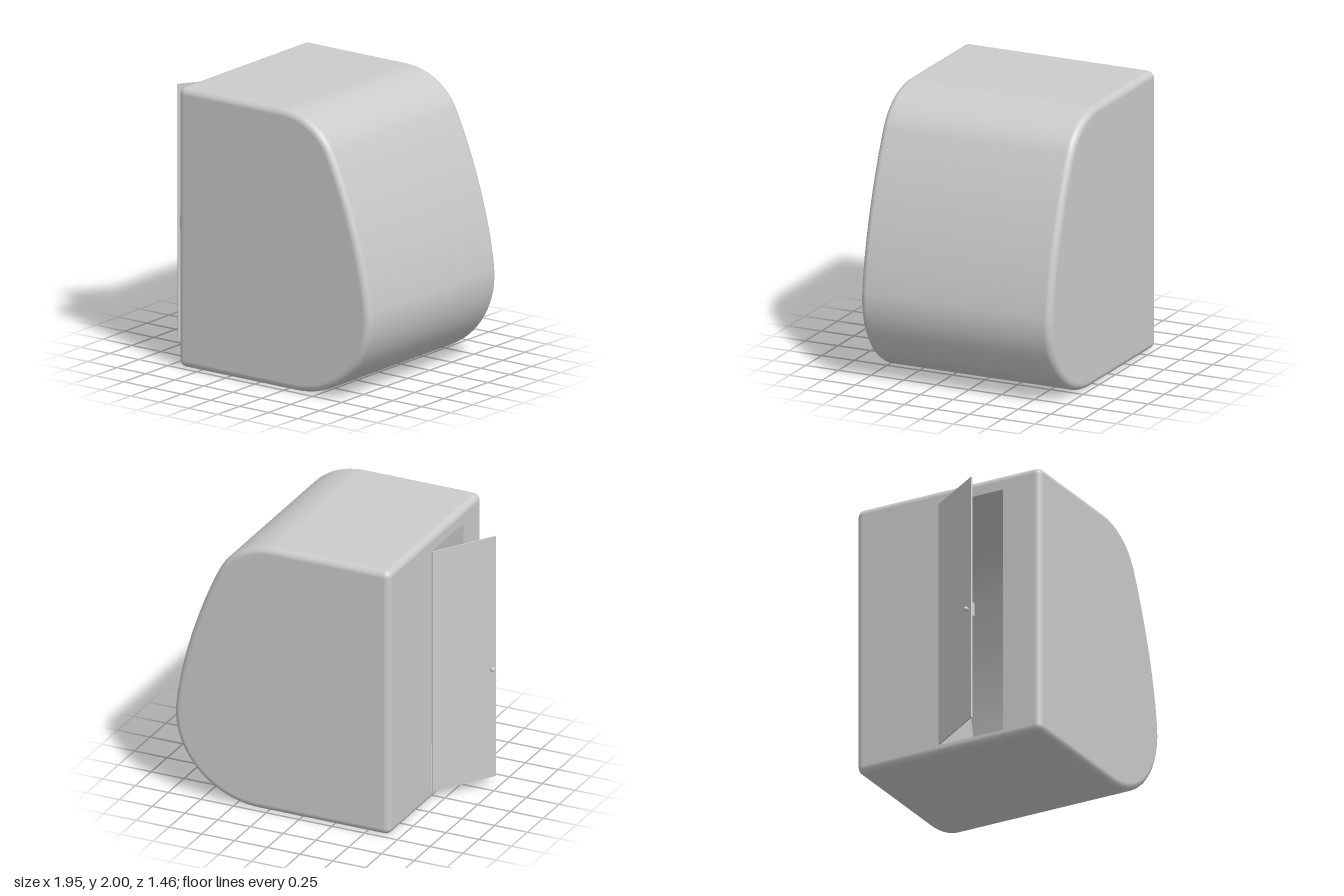
import * as THREE from 'three';

const HALF = 0.73;      // half depth of the pod
const ROUND = 0.05;     // edge rounding
const WALL = 0.018;     // wall thickness
const BACK = -0.68;     // flat door wall
const DOOR = { y0: 0.065, y1: 1.885, z0: -0.07, z1: 0.435 };

// Side profile, clockwise from the top of the door wall: points with outward normals
function makeProfile() {
  const v = (x, y) => new THREE.Vector2(x, y);
  const out = [];
  const corner = (cx, cy, a0) => {
    for (let i = 0; i <= 6; i++) {
      const a = a0 - (i / 6) * Math.PI / 2;
      const n = v(Math.cos(a), Math.sin(a));
      out.push({ p: v(cx, cy).addScaledVector(n, ROUND), n });
    }
  };
  const curve = (a, b, c, d) => {
    const bez = new THREE.CubicBezierCurve(a, b, c, d);
    for (let i = 0; i <= 20; i++) {
      const t = bez.getTangent(i / 20);
      out.push({ p: bez.getPoint(i / 20), n: v(-t.y, t.x) });
    }
  };
  corner(BACK + ROUND, 2 - ROUND, Math.PI);
  curve(v(0.2, 2), v(0.4, 2), v(0.565, 1.9), v(0.64, 1.74));
  curve(v(0.64, 1.74), v(0.77, 1.48), v(0.935, 1.02), v(0.968, 0.64));
  curve(v(0.968, 0.64), v(0.985, 0.3), v(0.7, 0), v(0.325, 0));
  corner(BACK + ROUND, ROUND, -Math.PI / 2);
  return out;
}

// Closed shell over the profile, left open at the flat door wall
function makeShell(profile, inset, round) {
  const pos = [], nor = [], idx = [];
  const rings = [];
  const steps = round > 0 ? 6 : 0;
  for (const s of [-1, 1]) {
    for (let i = 0; i <= steps; i++) {
      const k = s < 0 ? steps - i : i;
      const a = steps ? (k / steps) * Math.PI / 2 : 0;
      rings.push({ z: s * (HALF - inset - round * (1 - Math.sin(a))), a: s * a, off: inset + round * (1 - Math.cos(a)) });
    }
  }
  if (!steps) rings.forEach((r) => { r.z = Math.sign(r.z) * (HALF - inset); });
  const count = profile.length;
  const addRing = (r, flat) => {
    const start = pos.length / 3;
    for (const { p, n } of profile) {
      pos.push(p.x - n.x * r.off, p.y - n.y * r.off, r.z);
      if (flat) nor.push(0, 0, flat);
      else nor.push(n.x * Math.cos(r.a), n.y * Math.cos(r.a), Math.sin(r.a));
    }
    return start;
  };
  const starts = rings.map((r) => addRing(r, 0));
  for (let k = 0; k + 1 < starts.length; k++) {
    const main = k === steps;
    for (let i = 0; i < (main ? count - 1 : count); i++) {
      const j = (i + 1) % count;
      const a = starts[k] + i, b = starts[k] + j, c = starts[k + 1] + j, d = starts[k + 1] + i;
      idx.push(a, d, b, b, d, c);
    }
  }
  // flat end walls
  [[rings[0], -1], [rings[rings.length - 1], 1]].forEach(([r, s]) => {
    const o = addRing(r, s);
    for (let i = 1; i + 1 < count; i++) {
      if (s < 0) idx.push(o, o + i, o + i + 1);
      else idx.push(o, o + i + 1, o + i);
    }
  });
  const g = new THREE.BufferGeometry();
  g.setAttribute('position', new THREE.Float32BufferAttribute(pos, 3));
  g.setAttribute('normal', new THREE.Float32BufferAttribute(nor, 3));
  g.setIndex(idx);
  return g;
}

// Flat door wall with its opening, extruded to the wall thickness
function makeDoorWall() {
  const rect = (T, a0, a1, y0, y1) => {
    const s = new T();
    s.moveTo(a0, y0);
    s.lineTo(a1, y0);
    s.lineTo(a1, y1);
    s.lineTo(a0, y1);
    s.closePath();
    return s;
  };
  const e = HALF - ROUND;
  const shape = rect(THREE.Shape, -e, e, ROUND, 2 - ROUND);
  shape.holes.push(rect(THREE.Path, DOOR.z0, DOOR.z1, DOOR.y0, DOOR.y1));
  const g = new THREE.ExtrudeGeometry(shape, { depth: WALL, bevelEnabled: false });
  g.rotateY(-Math.PI / 2);           // shape x becomes z, depth becomes -x
  g.translate(BACK + WALL, 0, 0);
  return g;
}

export function createModel() {
  const root = new THREE.Group();
  root.name = 'pod';
  const mat = new THREE.MeshStandardMaterial({ color: 0xcccccc });
  const inside = new THREE.MeshStandardMaterial({ color: 0xcccccc, side: THREE.BackSide });
  const add = (parent, name, geo, m = mat) => {
    const mesh = new THREE.Mesh(geo, m);
    mesh.name = name;
    parent.add(mesh);
    return mesh;
  };

  // hollow body
  const profile = makeProfile();
  add(root, 'outerShell', makeShell(profile, 0, ROUND));
  add(root, 'innerLining', makeShell(profile, WALL, 0), inside);
  add(root, 'doorWall', makeDoorWall());

  // open door: local x runs from hinge to free edge, local z faces outward
  const door = new THREE.Group();
  door.name = 'door';
  door.position.set(BACK - 0.007, 0, DOOR.z0);
  door.rotation.y = Math.atan2(-0.42, -0.28);
  const width = DOOR.z1 - DOOR.z0, height = DOOR.y1 - DOOR.y0;
  add(door, 'doorPanel', new THREE.BoxGeometry(width, height, 0.01))
    .position.set(width / 2, (DOOR.y0 + DOOR.y1) / 2, 0);
  add(door, 'latchBox', new THREE.BoxGeometry(0.05, 0.1, 0.022))
    .position.set(width - 0.04, 0.893, -0.016);
  const stem = add(door, 'knobStem', new THREE.CylinderGeometry(0.007, 0.007, 0.02, 16));
  stem.rotation.x = Math.PI / 2;
  stem.position.set(width - 0.04, 0.893, 0.012);
  add(door, 'knob', new THREE.SphereGeometry(0.017, 20, 14))
    .position.set(width - 0.04, 0.893, 0.026);
  root.add(door);
  return root;
}
